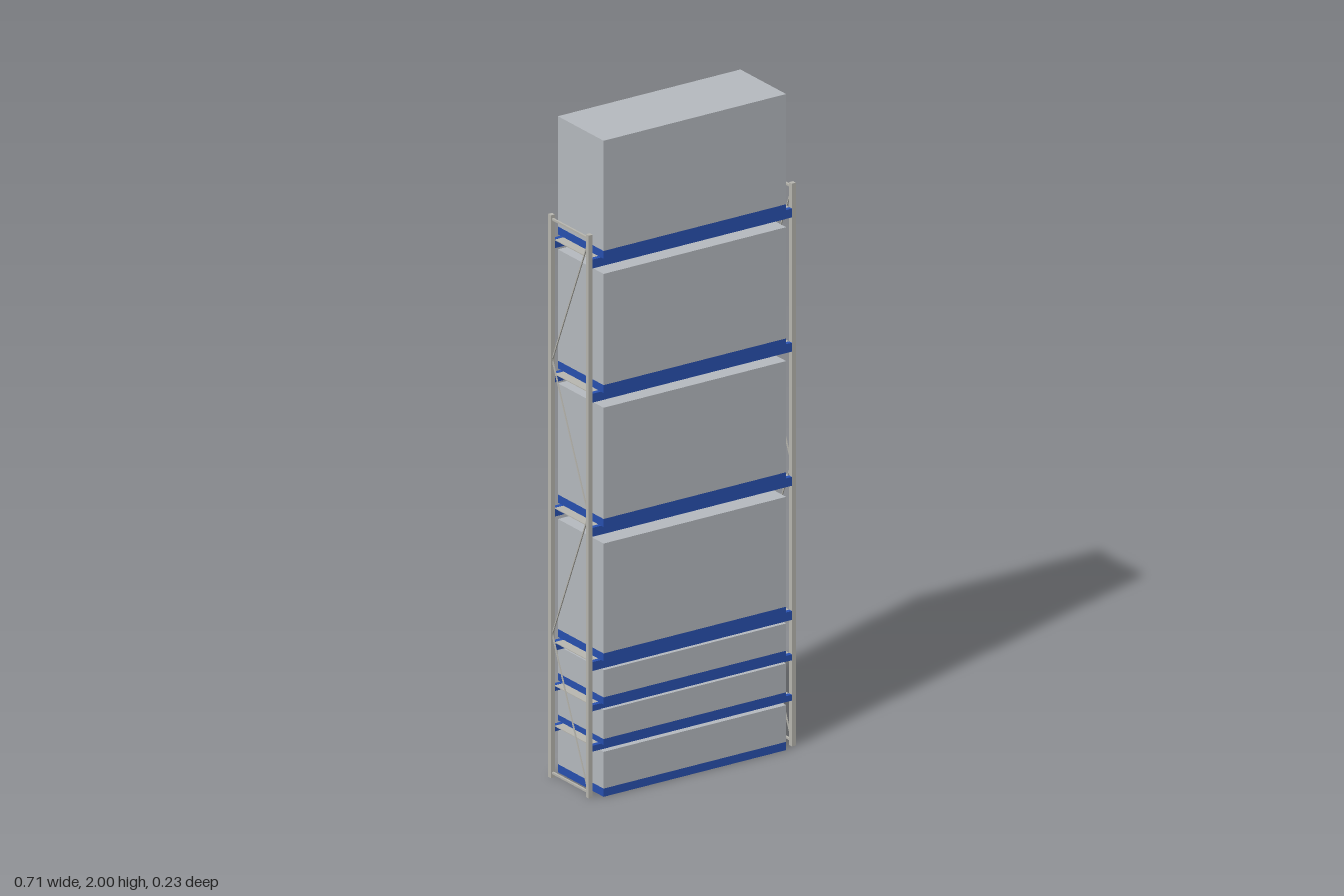
import * as THREE from 'three';

const mat = (name, color) => new THREE.MeshStandardMaterial({ name, color });

export function createModel() {
  const loadGrey = mat('load grey', 0xb6babf);
  const rackBlue = mat('rack blue', 0x2850b0);
  const steel = mat('galvanised steel', 0xb8b7b0);
  const model = new THREE.Group();
  model.name = 'palletRack';

  // Box given by its lower and upper corners
  const box = (parent, name, material, x0, x1, y0, y1, z0, z1) => {
    const mesh = new THREE.Mesh(new THREE.BoxGeometry(x1 - x0, y1 - y0, z1 - z0), material);
    mesh.position.set((x0 + x1) / 2, (y0 + y1) / 2, (z0 + z1) / 2);
    mesh.name = name;
    parent.add(mesh);
  };

  // Thin square rod between two points in a plane of constant x
  const rod = (parent, name, x, a, b, thick) => {
    const dz = b[0] - a[0], dy = b[1] - a[1];
    const mesh = new THREE.Mesh(new THREE.BoxGeometry(thick, thick, Math.hypot(dz, dy)), steel);
    mesh.position.set(x, (a[1] + b[1]) / 2, (a[0] + b[0]) / 2);
    mesh.rotation.x = -Math.atan2(dy, dz);
    mesh.name = name;
    parent.add(mesh);
  };

  // End frames: two posts, top and bottom ties, zigzag bracing
  const zigzag = [1.693, 1.274, 0.858, 0.437, 0.015];
  for (const side of [-1, 1]) {
    const frame = new THREE.Group();
    frame.name = side > 0 ? 'leftFrame' : 'rightFrame';
    const x = side * 0.3495;
    for (const z of [-0.094, 0.094])
      box(frame, 'post', steel, x - 0.0068, x + 0.0068, 0, 1.716, z - 0.007, z + 0.007);
    for (const y of [0.015, 1.703])
      rod(frame, 'tie', x, [-0.09, y], [0.09, y], 0.006);
    for (let i = 0; i < 4; i++) {
      const z = i % 2 ? -0.09 : 0.09;
      rod(frame, 'diagonalBrace', x, [z, zigzag[i]], [-z, zigzag[i + 1]], 0.0035);
    }
    model.add(frame);
  }

  // Levels: shelf height, beam height, pallet height, top of load
  const levels = [
    [0, 0, 0.025, 0.137],
    [0.158, 0.018, 0.018, 0.264],
    [0.281, 0.018, 0.022, 0.386],
    [0.413, 0.027, 0.024, 0.772],
    [0.822, 0.027, 0.025, 1.186],
    [1.231, 0.027, 0.024, 1.594],
    [1.64, 0.027, 0.024, 2],
  ];
  levels.forEach(([y, beam, pallet, top], i) => {
    const level = new THREE.Group();
    level.name = 'level' + i;
    if (beam) {
      for (const s of [-1, 1])
        box(level, 'beam', rackBlue, -0.343, 0.343, y - beam, y, s * 0.094 - 0.007, s * 0.094 + 0.007);
      box(level, 'deck', steel, -0.343, 0.343, y - 0.003, y - 0.0005, -0.087, 0.087);
    }
    box(level, 'pallet', rackBlue, -0.314, 0.314, y, y + pallet, -0.114, 0.114);
    box(level, 'load', loadGrey, -0.314, 0.314, y + pallet, top, -0.114, 0.114);
    model.add(level);
  });
  return model;
}
